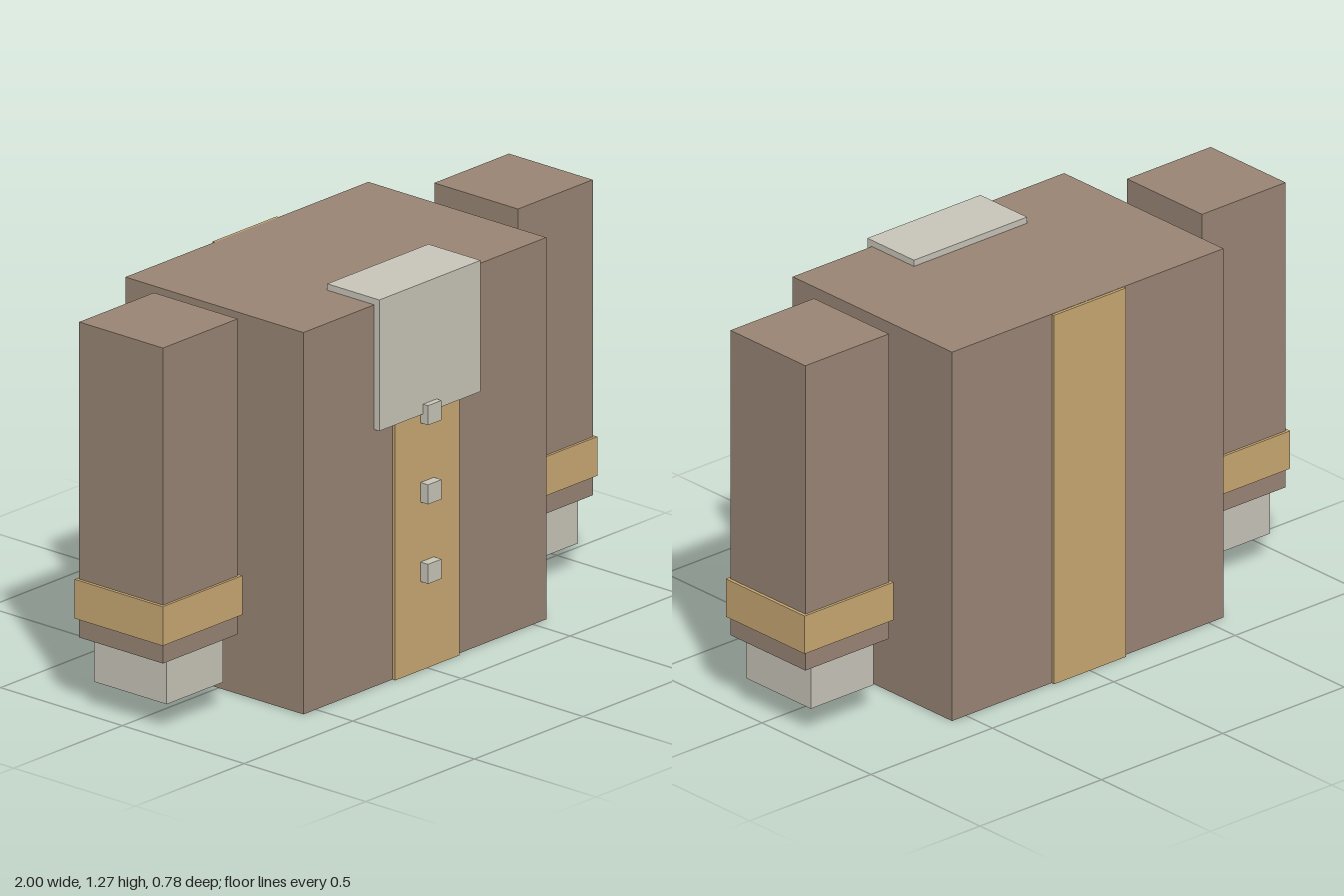
import * as THREE from 'three';

function material(name, color) {
  const m = new THREE.MeshStandardMaterial({ color });
  m.name = name;
  return m;
}

export function createModel() {
  const brown = material('brown cloth', 0x998575);
  const gold = material('gold trim', 0xc8a872);
  const grey = material('pale grey', 0xc8c5b9);

  // Box given by its extents on each axis
  function block(parent, name, mat, [x0, x1], [y0, y1], [z0, z1]) {
    const mesh = new THREE.Mesh(new THREE.BoxGeometry(x1 - x0, y1 - y0, z1 - z0), mat);
    mesh.position.set((x0 + x1) / 2, (y0 + y1) / 2, (z0 + z1) / 2);
    mesh.name = name;
    parent.add(mesh);
  }

  const model = new THREE.Group();
  model.name = 'robedTorso';

  // Torso with a trim band running through it, proud at front and back
  block(model, 'torso', brown, [-0.559, 0.559], [0.001, 1.25], [-0.381, 0.35]);
  block(model, 'trimBand', gold, [-0.148, 0.148], [0, 1.249], [-0.391, 0.36]);

  // Bib folded over the top front edge
  block(model, 'bib', grey, [-0.233, 0.233], [0.842, 1.271], [0.157, 0.371]);

  // Buttons down the front
  for (const y of [0.323, 0.583, 0.842]) {
    block(model, 'button', grey, [-0.031, 0.031], [y - 0.032, y + 0.032], [0.33, 0.391]);
  }

  // Arms: sleeve, cuff and hand
  for (const [side, name] of [[1, 'leftArm'], [-1, 'rightArm']]) {
    const arm = new THREE.Group();
    arm.name = name;
    arm.position.set(side * 0.817, 0, -0.015);
    block(arm, 'sleeve', brown, [-0.172, 0.172], [0.239, 1.271], [-0.172, 0.172]);
    block(arm, 'cuff', gold, [-0.183, 0.183], [0.302, 0.43], [-0.181, 0.181]);
    block(arm, 'hand', grey, [-0.129, 0.129], [0.088, 0.245], [-0.149, 0.149]);
    model.add(arm);
  }

  return model;
}
